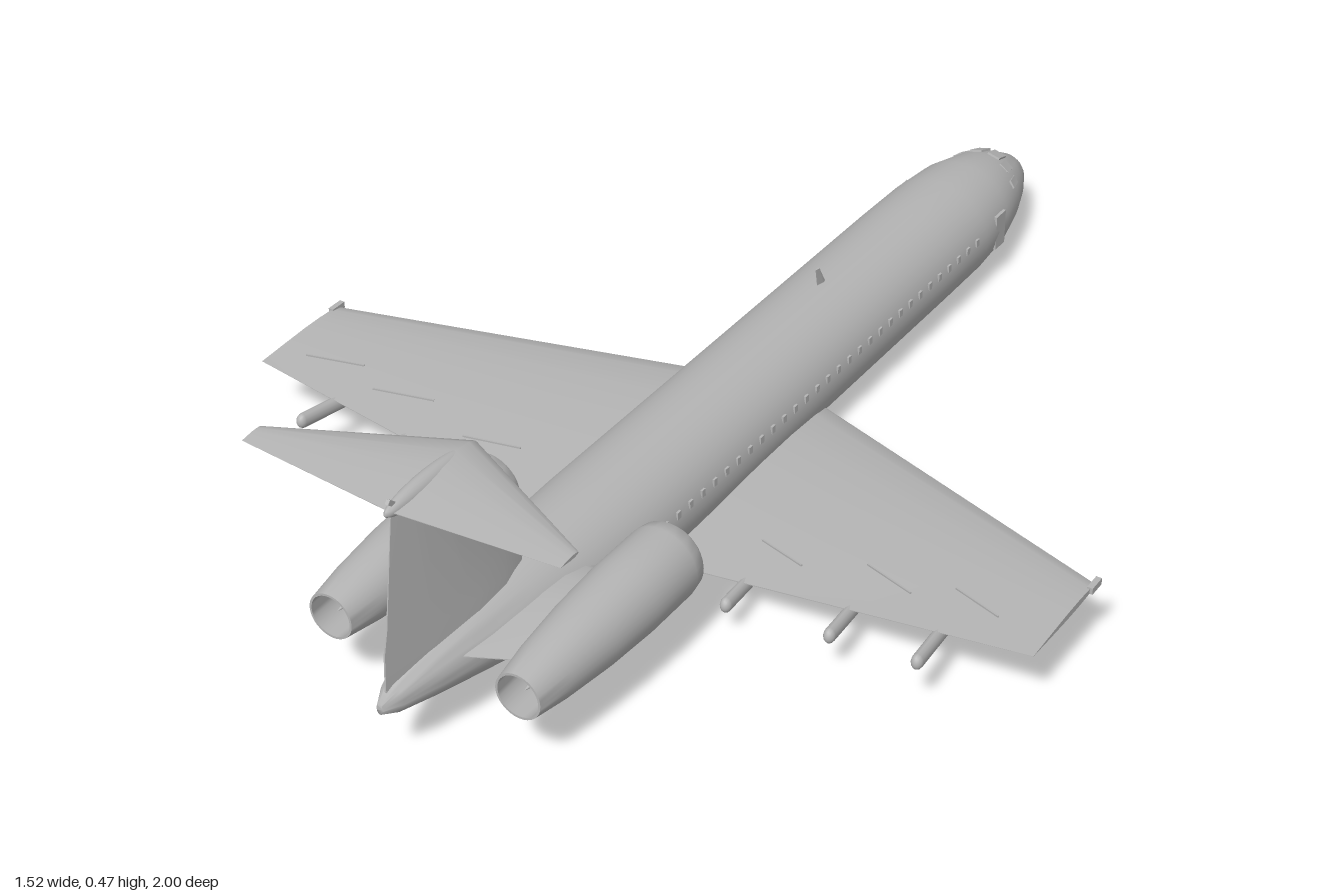
import * as THREE from 'three';
import { toCreasedNormals } from 'three/addons/utils/BufferGeometryUtils.js';

const grey = new THREE.MeshStandardMaterial({ color: 0xb4b4b4 });
const greyOpen = grey.clone();
grey.name = 'light grey';
greyOpen.name = 'light grey open shell';
greyOpen.side = THREE.DoubleSide;

// Skin closed rings of points [x, y, z], cap both ends, keep sharp edges
function loft(rings, crease = 0.6) {
  const n = rings[0].length, pos = rings.flat(2), idx = [];
  for (let r = 0; r < rings.length - 1; r++)
    for (let i = 0; i < n; i++) {
      const a = r * n + i, b = r * n + (i + 1) % n;
      idx.push(a, b, a + n, b, b + n, a + n);
    }
  const last = (rings.length - 1) * n;
  for (let i = 1; i < n - 1; i++) {
    idx.push(0, i + 1, i);
    idx.push(last, last + i, last + i + 1);
  }
  // turn the faces outwards if the enclosed volume is negative
  let vol = 0;
  const p = k => new THREE.Vector3().fromArray(pos, k * 3);
  for (let i = 0; i < idx.length; i += 3) vol += p(idx[i]).dot(p(idx[i + 1]).cross(p(idx[i + 2])));
  if (vol < 0) idx.reverse();
  const g = new THREE.BufferGeometry();
  g.setAttribute('position', new THREE.Float32BufferAttribute(pos, 3));
  g.setIndex(idx);
  return toCreasedNormals(g, crease);
}

// Aerofoil outline as [z, half thickness offset]
function foil(le, te, thick) {
  const top = [[0, 0], [0.02, 0.16], [0.09, 0.36], [0.25, 0.5], [0.45, 0.48], [0.72, 0.27], [1, 0.02]];
  const low = top.slice(1).reverse().map(([t, h]) => [t, -h]);
  return [...top, ...low].map(([t, h]) => [le + t * (te - le), h * thick]);
}
const flatFoil = (x, y, le, te, th) => foil(le, te, th).map(([z, h]) => [x, y + h, z]);
const uprightFoil = (y, le, te, th) => foil(le, te, th).map(([z, h]) => [h, y, z]);

export function createModel() {
  const model = new THREE.Group();
  const add = (name, geo, x = 0, y = 0, z = 0, parent = model, mat = grey) => {
    const m = new THREE.Mesh(geo, mat);
    m.name = name;
    m.position.set(x, y, z);
    parent.add(m);
    return m;
  };
  const rod = (name, a, b, w, h) => {
    const A = new THREE.Vector3(...a), B = new THREE.Vector3(...b);
    const m = add(name, new THREE.BoxGeometry(w, h, A.distanceTo(B)));
    m.position.copy(A).add(B).multiplyScalar(0.5);
    m.lookAt(B);
    return m;
  };

  // Fuselage stations: z, bottom, top, half width
  const stations = [
    [-1, 0.085, 0.093, 0.004], [-0.99, 0.066, 0.112, 0.022], [-0.965, 0.05, 0.132, 0.04],
    [-0.92, 0.033, 0.157, 0.062], [-0.86, 0.018, 0.181, 0.084], [-0.78, 0.007, 0.197, 0.104],
    [-0.68, 0.001, 0.204, 0.112], [-0.55, 0, 0.206, 0.113], [0.33, 0, 0.206, 0.113],
    [0.45, 0.006, 0.206, 0.112], [0.58, 0.022, 0.206, 0.104], [0.7, 0.044, 0.203, 0.088],
    [0.8, 0.063, 0.193, 0.068], [0.9, 0.083, 0.173, 0.044], [0.97, 0.098, 0.152, 0.022], [1, 0.113, 0.133, 0.006],
  ];
  add('fuselage', loft(stations.map(([z, b, t, w]) => Array.from({ length: 36 }, (_, i) => {
    const a = i / 36 * Math.PI * 2;
    return [w * Math.cos(a), (b + t) / 2 + (t - b) / 2 * Math.sin(a), z];
  })), 1.2));

  // Fin with a wide root fairing, and the bullet where it meets the tailplane
  add('fin', loft([
    uprightFoil(0.13, 0.63, 0.985, 0.075), uprightFoil(0.21, 0.645, 0.98, 0.068),
    uprightFoil(0.25, 0.68, 0.97, 0.056), uprightFoil(0.445, 0.805, 0.94, 0.032),
  ]));
  const bullet = add('finBullet', new THREE.SphereGeometry(1, 20, 12), 0, 0.448, 0.85);
  bullet.scale.set(0.017, 0.019, 0.105);
  rod('tailSpike', [0, 0.45, 0.925], [0, 0.467, 0.945], 0.006, 0.008);

  // Cockpit panes, lying along the nose
  for (const s of [-1, 1]) for (const [x, y, z, w] of [[0.018, 0.172, -0.885, 0.026], [0.047, 0.162, -0.87, 0.022], [0.072, 0.143, -0.855, 0.016]]) {
    const pane = add('cockpitPane', new THREE.BoxGeometry(w, 0.004, 0.035), s * x, y, z);
    pane.rotation.set(-0.32, 0, -s * x * 14, 'ZXY');
  }

  // Aerial on the roof
  add('aerial', loft([
    uprightFoil(0.2, -0.272, -0.245, 0.008), uprightFoil(0.24, -0.25, -0.238, 0.004),
  ]));

  const nacelle = [
    [0.046, 0.06], [0.05, 0.02], [0.054, 0.004], [0.058, 0], [0.063, 0.006], [0.067, 0.03],
    [0.067, 0.14], [0.062, 0.24], [0.052, 0.34], [0.041, 0.41], [0.037, 0.41], [0.04, 0.33],
  ].map(([r, z]) => new THREE.Vector2(r, z));

  for (const s of [-1, 1]) {
    const side = s > 0 ? 'left' : 'right';

    // Main wing and tailplane
    add(side + 'Wing', loft([
      flatFoil(0, 0.048, -0.155, 0.412, 0.052), flatFoil(s * 0.11, 0.056, -0.11, 0.408, 0.048),
      flatFoil(s * 0.757, 0.123, 0.165, 0.375, 0.012),
    ]));
    add(side + 'Tailplane', loft([
      flatFoil(0, 0.448, 0.735, 0.942, 0.03), flatFoil(s * 0.288, 0.455, 0.882, 0.926, 0.006),
    ]));
    add(side + 'TipLamp', new THREE.BoxGeometry(0.01, 0.012, 0.032), s * 0.757, 0.124, 0.17);

    // Flap track fairings, splayed outwards
    for (const [x, y] of [[0.25, 0.058], [0.44, 0.078], [0.595, 0.094]]) {
      const f = add(side + 'FlapFairing', new THREE.CapsuleGeometry(0.012, 0.14, 6, 12).rotateX(Math.PI / 2), s * x, y, 0.385);
      f.scale.set(0.85, 1.15, 1);
      f.rotation.y = s * 0.1;
      f.rotation.x = -0.1;
    }

    // Thin raised spoiler strips over the wing
    for (const [x0, z0, y0, x1, z1, y1] of [
      [0.24, 0.32, 0.1, 0.335, 0.355, 0.11], [0.43, 0.31, 0.122, 0.53, 0.35, 0.133], [0.585, 0.305, 0.136, 0.68, 0.345, 0.147],
    ]) rod(side + 'SpoilerStrip', [s * x0, y0, z0], [s * x1, y1, z1], 0.003, 0.003);

    // Landing gear door under the wing root
    add(side + 'GearDoor', new THREE.BoxGeometry(0.095, 0.007, 0.08), s * 0.178, 0.034, 0.15);

    // Engine: open nacelle, fan, spinner and exhaust
    const engine = new THREE.Group();
    engine.name = side + 'Engine';
    engine.position.set(s * 0.176, 0.152, 0.485);
    model.add(engine);
    add('nacelle', toCreasedNormals(new THREE.LatheGeometry(nacelle, 32).rotateX(Math.PI / 2).scale(1, 1, 1), 0.8), 0, 0, 0, engine, greyOpen);
    add('fanDisc', new THREE.CylinderGeometry(0.047, 0.047, 0.004, 32).rotateX(Math.PI / 2), 0, 0, 0.062, engine);
    add('spinner', new THREE.ConeGeometry(0.016, 0.035, 20).rotateX(-Math.PI / 2), 0, 0, 0.044, engine);
    add('turbineDisc', new THREE.CylinderGeometry(0.041, 0.041, 0.004, 32).rotateX(Math.PI / 2), 0, 0, 0.335, engine);
    add('exhaustCone', new THREE.ConeGeometry(0.016, 0.06, 20).rotateX(Math.PI / 2), 0, 0, 0.365, engine);
    for (let i = 0; i < 12; i++) for (const [z, r] of [[0.054, 0.03], [0.343, 0.026]]) {
      const a = i / 12 * Math.PI * 2;
      const blade = add('blade', new THREE.BoxGeometry(0.024, 0.003, 0.012), r * Math.cos(a), r * Math.sin(a), z, engine);
      blade.rotation.z = a;
    }
    add(side + 'Pylon', loft([
      flatFoil(s * 0.05, 0.148, 0.56, 0.86, 0.04), flatFoil(s * 0.13, 0.148, 0.58, 0.82, 0.038),
    ]));

    // Cabin windows and front door
    for (let i = 0; i < 30; i++)
      add(side + 'CabinWindow', new THREE.BoxGeometry(0.004, 0.014, 0.01), s * 0.1105, 0.128, -0.64 + i * 0.036);
    add(side + 'Door', new THREE.BoxGeometry(0.006, 0.07, 0.035), s * 0.1045, 0.105, -0.74);
  }
  return model;
}
